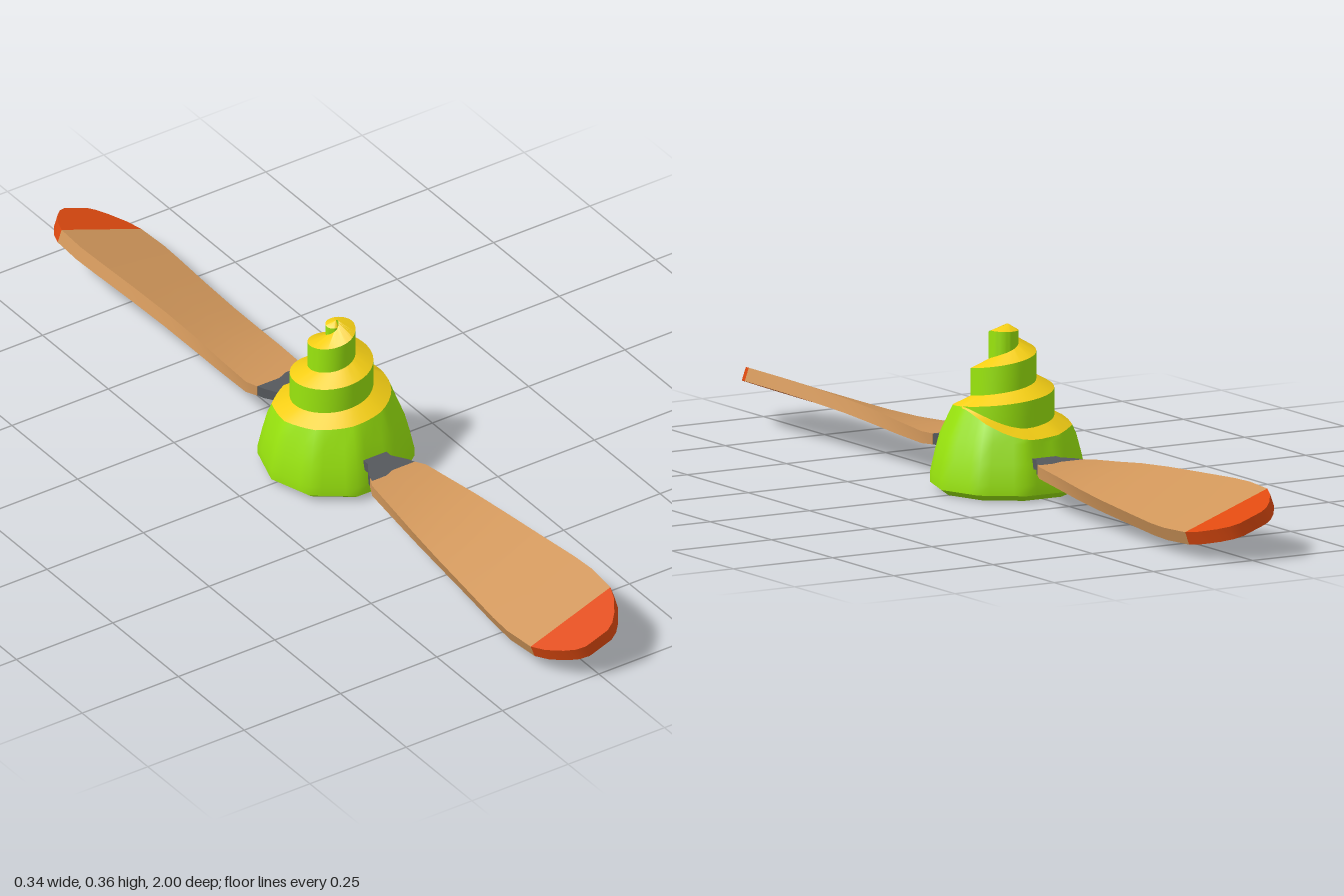
import * as THREE from 'three';
import { toCreasedNormals } from 'three/addons/utils/BufferGeometryUtils.js';

const mat = (color) => new THREE.MeshStandardMaterial({ color, side: THREE.DoubleSide });
const green = mat(0x9ae60e), yellow = mat(0xf3cd14), wood = mat(0xd0965a);
const orange = mat(0xdf4a10), grey = mat(0x55585c);

// Grid surface: u runs to the right and v runs up when seen from outside
function surface(name, nu, nv, point, material) {
  const pos = [], index = [];
  for (let i = 0; i <= nu; i++) for (let j = 0; j <= nv; j++) pos.push(...point(i, j));
  for (let i = 0; i < nu; i++) for (let j = 0; j < nv; j++) {
    const a = i * (nv + 1) + j, b = a + nv + 1;
    index.push(a, b, b + 1, a, b + 1, a + 1);
  }
  const geo = new THREE.BufferGeometry();
  geo.setAttribute('position', new THREE.Float32BufferAttribute(pos, 3));
  geo.setIndex(index);
  const mesh = new THREE.Mesh(toCreasedNormals(geo, 0.8), material);
  mesh.name = name;
  return mesh;
}

// Spiral measured in half turns k: k = 0 at +x, rising from -x past the front to +x
const HALF = 20;
const radius = (k) => Math.max(0, 0.115 - 0.0193 * k);
const height = (k) => Math.min(0.347, 0.19 + 0.04 * k);
const polar = (k, r, y) => [r * Math.cos(k * Math.PI), y, -r * Math.sin(k * Math.PI)];

// Ten-sided outline of the base
const decagon = (k) => {
  const t = (((k * 180) % 36) + 36) % 36 - 18;
  return Math.cos(Math.PI / 10) / Math.cos(THREE.MathUtils.degToRad(t));
};

// The first half turn of the ledge grows out of the shoulder of the base
const grow = (k) => THREE.MathUtils.smoothstep(k, -2, -1.5);
function outer(k) {
  const g = grow(k), f = k < 0 ? THREE.MathUtils.lerp(decagon(k), 1, (k + 2) / 2) : 1;
  return [THREE.MathUtils.lerp(0.117, radius(k) * f, g), THREE.MathUtils.lerp(0.187, height(k), g)];
}
const inner = (k) => [radius(k + 2),
  Math.min(0.36, THREE.MathUtils.lerp(0.19, 0.21 + 0.04 * k, grow(k)))];

function makeHub() {
  const hub = new THREE.Group();
  hub.name = 'spiralHub';
  const rings = [[0, 0], [0.15, 0], [0.168, 0.013], [0.168, 0.035], [0.158, 0.08], [0.147, 0.122]];
  hub.add(surface('base', 2 * HALF, rings.length, (i, j) => {
    const k = -2 + i / HALF;
    if (j === rings.length) return polar(k, ...outer(k));
    return polar(k, rings[j][0] * decagon(k), rings[j][1]);
  }, green));
  hub.add(surface('spiralWall', 6 * HALF, 1, (i, j) => {
    const k = i / HALF;
    return polar(k, ...(j ? [radius(k), height(k)] : inner(k - 2)));
  }, green));
  hub.add(surface('spiralLedge', 8 * HALF, 1, (i, j) => {
    const k = -2 + i / HALF;
    return polar(k, ...(j ? inner(k) : outer(k)));
  }, yellow));
  return hub;
}

// Rectangular sections along z: [z, half width, half thickness, tilt in degrees]
function loft(name, sections, material) {
  const first = sections[0], last = sections[sections.length - 1];
  const all = [[first[0], 0, 0, 0], ...sections, [last[0], 0, 0, 0]];
  const corners = [[1, -1], [1, 1], [0, 1], [-1, 1], [-1, -1], [0, -1], [1, -1]];
  return surface(name, 6, all.length - 1, (i, j) => {
    const [z, w, t, tilt] = all[j], a = THREE.MathUtils.degToRad(tilt);
    const x = corners[i][0] * w, y = corners[i][1] * t;
    return [x * Math.cos(a) - y * Math.sin(a), 0.08 + x * Math.sin(a) + y * Math.cos(a), z];
  }, material);
}

function makeBlade(name) {
  const blade = new THREE.Group();
  blade.name = name;
  blade.add(
    loft('bladeMount', [[0.1, 0.03, 0.011, 0], [0.165, 0.03, 0.011, 0],
      [0.2, 0.052, 0.012, 0], [0.225, 0.06, 0.012, 0]], grey),
    loft('bladeBody', [[0.215, 0.058, 0.012, 0], [0.24, 0.07, 0.013, 1], [0.33, 0.077, 0.014, 7],
      [0.42, 0.084, 0.015, 13], [0.52, 0.092, 0.015, 17], [0.64, 0.102, 0.015, 19],
      [0.76, 0.113, 0.015, 20], [0.82, 0.116, 0.015, 20], [0.9, 0.11, 0.015, 20]], wood),
    loft('bladeTip', [[0.9, 0.11, 0.015, 20], [0.935, 0.095, 0.015, 20],
      [0.97, 0.07, 0.015, 20], [0.99, 0.05, 0.015, 20], [1, 0.03, 0.015, 20]], orange));
  return blade;
}

export function createModel() {
  const model = new THREE.Group();
  model.name = 'propeller';
  const back = makeBlade('backBlade');
  back.rotation.y = Math.PI;
  model.add(makeHub(), makeBlade('frontBlade'), back);
  return model;
}
